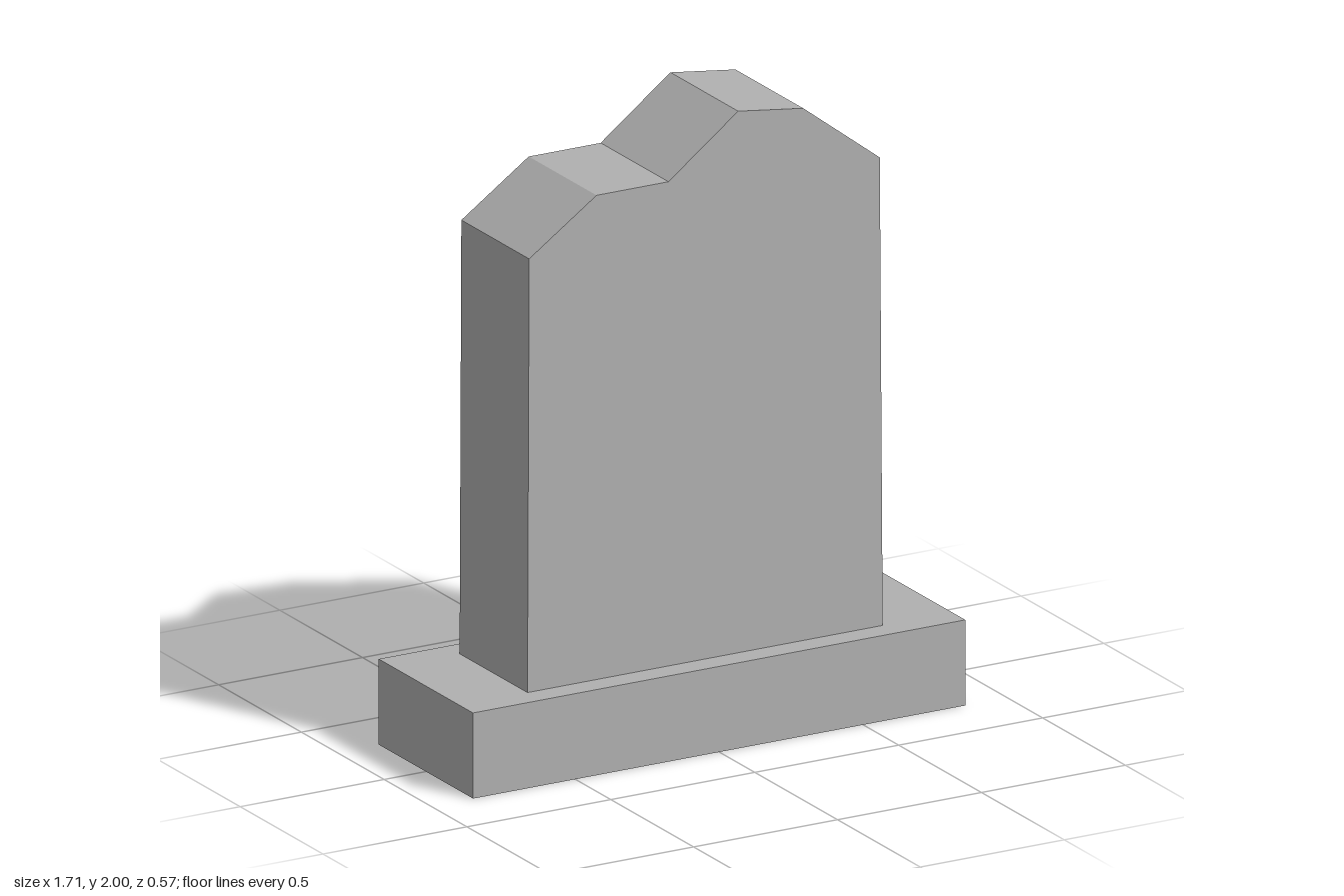
import * as THREE from 'three';

export function createModel() {
  const model = new THREE.Group();
  model.name = 'gravestone';
  const stone = new THREE.MeshStandardMaterial({ color: 0xb0b0b0, flatShading: true });
  stone.name = 'grey stone';

  // Rectangular plinth
  const baseHeight = 0.273;
  const base = new THREE.Mesh(new THREE.BoxGeometry(1.71, baseHeight, 0.57), stone);
  base.name = 'base';
  base.position.y = baseHeight / 2;

  // Upright slab with a broken top edge
  const depth = 0.41;
  const outline = [
    [-0.62, baseHeight], [0.614, baseHeight], [0.604, 1.767], [0.338, 1.97],
    [0.112, 2], [-0.13, 1.817], [-0.38, 1.817], [-0.614, 1.655],
  ].map(([x, y]) => new THREE.Vector2(x, y));
  const slabGeometry = new THREE.ExtrudeGeometry(new THREE.Shape(outline), { depth, bevelEnabled: false });
  slabGeometry.translate(0, 0, -depth / 2);
  const slab = new THREE.Mesh(slabGeometry, stone);
  slab.name = 'slab';

  model.add(base, slab);
  return model;
}
